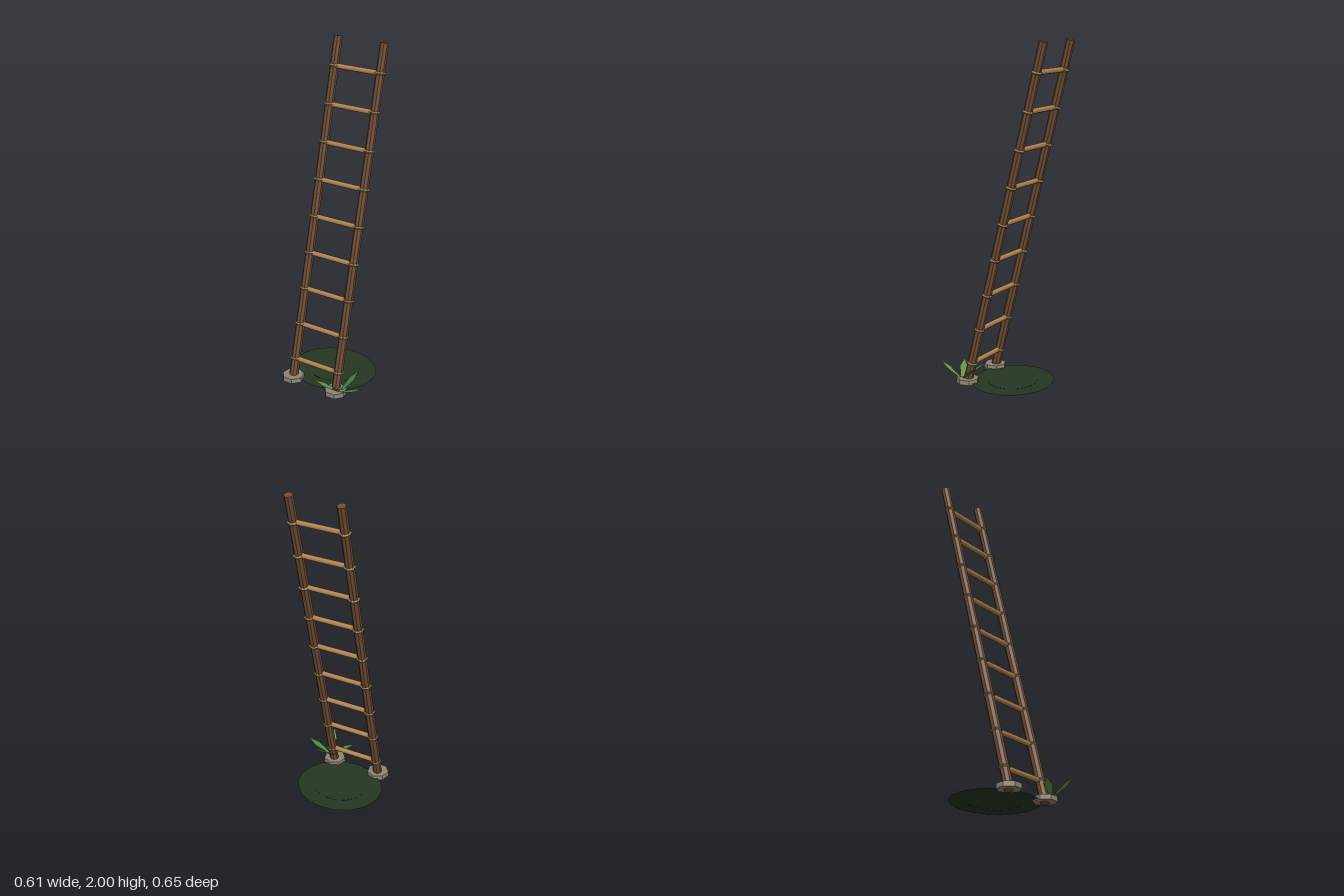
import * as THREE from 'three';

const mat = (color, opts = {}) => {
  const m = new THREE.MeshStandardMaterial(opts);
  m.color.set(color);
  return m;
};

export function createModel() {
  const model = new THREE.Group();
  const wood = mat(0x6e4c32, { flatShading: true });
  const rungWood = mat(0xb08350);
  const rope = mat(0x9c8253, { flatShading: true });
  const stone = mat(0x8f8373, { flatShading: true });
  const moss = mat(0x243822, { side: THREE.DoubleSide });
  const add = (name, geo, material, x, y, z, parent = model) => {
    const mesh = new THREE.Mesh(geo, material);
    mesh.name = name;
    mesh.position.set(x, y, z);
    parent.add(mesh);
    return mesh;
  };

  // Centre line of the leaning ladder
  const slope = -0.2485;
  const lean = Math.atan(slope);
  const zAt = y => 0.188 + slope * y;
  const railX = [-0.195, 0.107];
  const midX = (railX[0] + railX[1]) / 2;

  // Rails and the stones they stand in
  const railLength = 1.988 / Math.cos(lean);
  const railGeo = new THREE.CylinderGeometry(0.025, 0.027, railLength, 8);
  railGeo.rotateY(Math.PI / 8);
  const stoneGeo = new THREE.CylinderGeometry(0.066, 0.068, 0.028, 7);
  stoneGeo.rotateY(Math.PI / 7);
  for (const x of railX) {
    add('rail', railGeo, wood, x, 1, zAt(1)).rotation.x = lean;
    add('footStone', stoneGeo, stone, x, 0.026, 0.186);
  }

  // Rungs, each lashed to both rails
  const rungGeo = new THREE.CylinderGeometry(0.0155, 0.0155, 0.315, 8);
  rungGeo.rotateZ(Math.PI / 2);
  const lashGeo = new THREE.TorusGeometry(0.026, 0.009, 4, 6);
  lashGeo.rotateZ(Math.PI / 6).rotateX(Math.PI / 2);
  for (let i = 0; i < 9; i++) {
    const y = 0.135 + 0.212 * i;
    add('rung', rungGeo, rungWood, midX, y, zAt(y));
    for (const x of railX) add('lashing', lashGeo, rope, x, y, zAt(y)).rotation.x = lean;
  }

  // Flat ground patch with an inner disc
  const patch = new THREE.Group();
  patch.name = 'groundPatch';
  patch.position.set(-0.044, 0.02, -0.033);
  patch.scale.z = 0.9;
  model.add(patch);
  const outer = new THREE.RingGeometry(0.16, 0.261, 20).rotateX(-Math.PI / 2);
  const inner = new THREE.CircleGeometry(0.16, 20).rotateX(-Math.PI / 2);
  add('patchRim', outer, moss, 0, 0, 0, patch);
  add('patchCentre', inner, moss, 0, 0.001, 0, patch);

  // Leaf tuft: angle (from +x toward +z), reach, tip height, colour
  const tuft = new THREE.Group();
  tuft.name = 'leafTuft';
  tuft.position.set(0.145, 0.04, 0.2);
  model.add(tuft);
  const leaves = [
    [0.03, 0.157, 0.07, 0x4c8a3f],
    [1.29, 0.13, 0.105, 0x6ba04a],
    [2.66, 0.15, 0.075, 0x5c9240],
    [3.98, 0.149, 0.1, 0x3f7035],
    [5.15, 0.135, 0.1, 0x467a38],
  ];
  for (const [angle, reach, height, color] of leaves) {
    const length = Math.hypot(reach, height);
    const shape = new THREE.Shape([
      [0.015, -0.009], [length * 0.62, -0.023], [length, 0],
      [length * 0.62, 0.023], [0.015, 0.009],
    ].map(p => new THREE.Vector2(...p)));
    const geo = new THREE.ShapeGeometry(shape);
    geo.rotateX(-Math.PI / 2).rotateZ(Math.atan2(height, reach));
    const leaf = add('leaf', geo, mat(color, { side: THREE.DoubleSide, flatShading: true }), 0, 0, 0, tuft);
    leaf.rotation.y = -angle;
  }
  return model;
}
